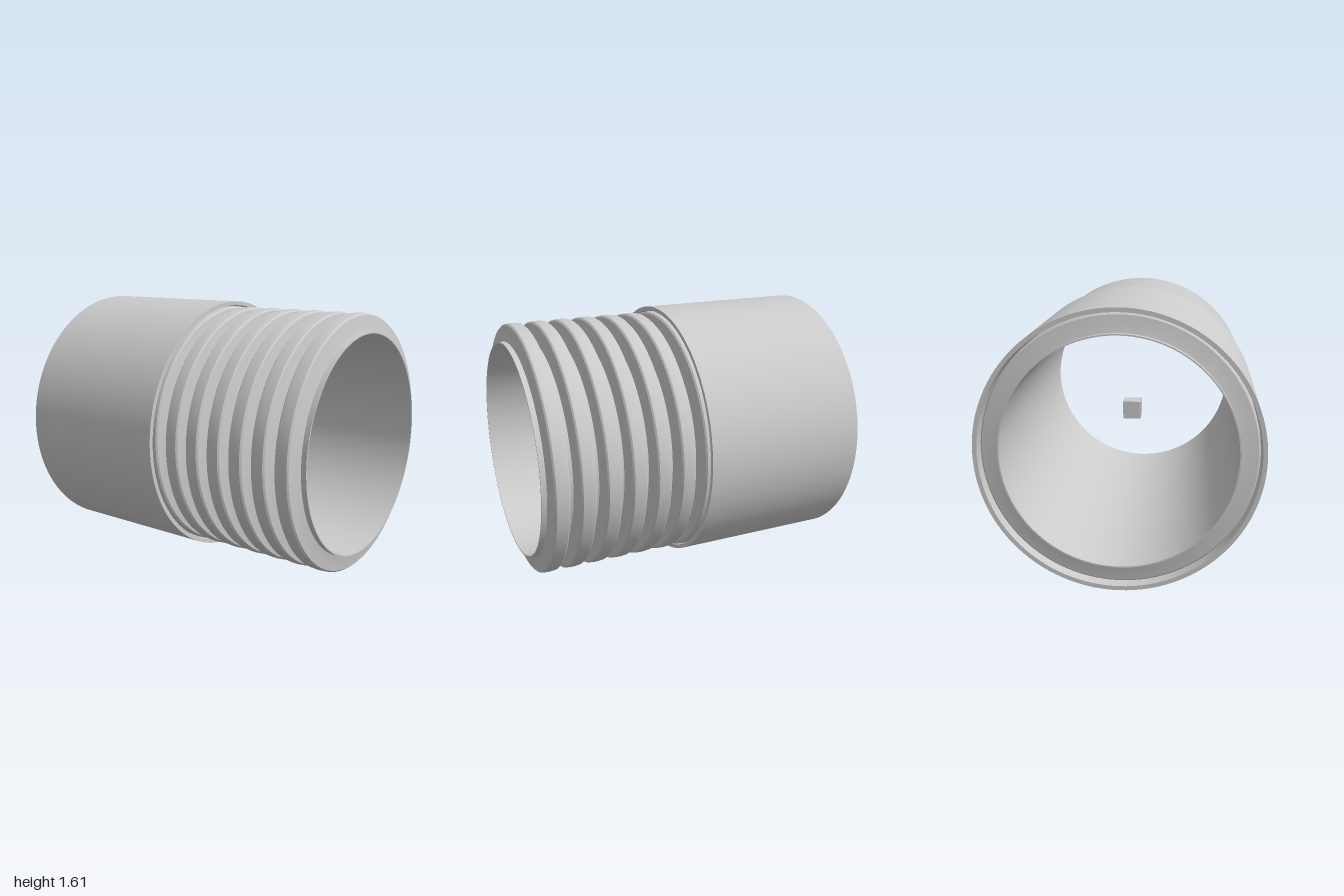
import * as THREE from 'three';
import { toCreasedNormals } from 'three/addons/utils/BufferGeometryUtils.js';

const RADIUS = 0.805;
const SEGMENTS = 112;
const material = new THREE.MeshStandardMaterial({ color: 0xcccccc });

// Revolves a closed [radius, z] profile around the z axis, keeping hard edges crisp.
function revolve(name, profile) {
  const points = profile.map(([r, z]) => new THREE.Vector2(r, z));
  const geometry = new THREE.LatheGeometry(points, SEGMENTS).rotateX(Math.PI / 2);
  const mesh = new THREE.Mesh(toCreasedNormals(geometry, Math.PI / 7), material);
  mesh.name = name;
  return mesh;
}

export function createModel() {
  const model = new THREE.Group();
  model.name = 'hoseWithSleeve';

  const assembly = new THREE.Group();
  assembly.name = 'hoseAssembly';
  assembly.position.y = RADIUS;
  model.add(assembly);

  // Corrugated hose: thirteen ribs outside, smooth bore inside
  const bore = 0.658, neck = 0.666, pitch = 0.1515, ribs = 13;
  const rib = [
    [neck, -0.059], [0.676, -0.056], [0.762, -0.044], [0.771, -0.035],
    [0.774, 0],
    [0.771, 0.035], [0.762, 0.044], [0.676, 0.056], [neck, 0.059],
  ];
  const hose = [[bore, -1], [neck, -1]];
  for (let i = 0; i < ribs; i++) {
    const centre = (i - (ribs - 1) / 2) * pitch;
    for (const [r, z] of rib) hose.push([r, centre + z]);
  }
  hose.push([neck, 1], [bore, 1], [bore, -1]);
  assembly.add(revolve('corrugatedHose', hose));

  // Plain sleeve around the rear half
  const inner = 0.78, front = 0.02;
  assembly.add(revolve('sleeve', [
    [inner, -1], [RADIUS, -1], [RADIUS, front], [inner, front], [inner, -1],
  ]));

  // Small block in the middle of the bore
  const block = new THREE.Mesh(new THREE.BoxGeometry(0.115, 0.115, 0.115), material);
  block.name = 'centreBlock';
  assembly.add(block);

  return model;
}
